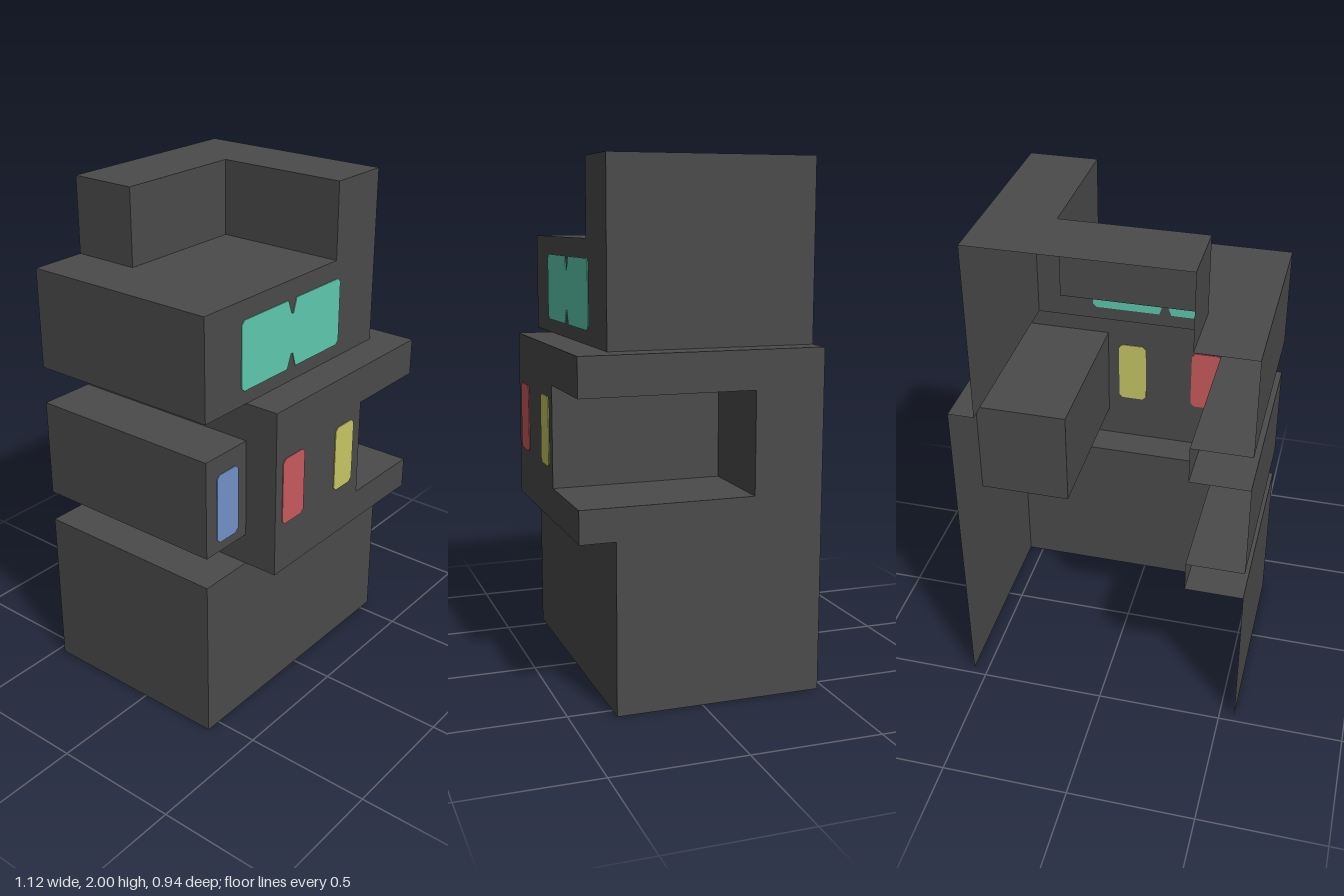
import * as THREE from 'three';

const charcoal = new THREE.MeshStandardMaterial({ color: 0x4b4b4b, side: THREE.DoubleSide });
charcoal.name = 'charcoal';
const paint = (name, color) => {
  const m = new THREE.MeshStandardMaterial({ color });
  m.name = name;
  return m;
};
const teal = paint('teal', 0x5ecbb0);
const red = paint('red', 0xcb5b5e);
const yellow = paint('yellow', 0xc8c865);
const blue = paint('blue', 0x7493cb);

// Main planes of the hollow shell, which is open at the back and bottom
const L = -0.56, R = 0.56, INL = -0.335, INR = 0.46, NOTCH = 0.2;
const BACK = -0.47, FRONT = 0.33, PROUD = 0.466, STEP = -0.2;
const Y1 = 0.65, P0 = 0.775, P1 = 1.165, Y2 = 1.312, Y3 = 1.703, TOP = 2;

const rect = (a0, b0, a1, b1) => [[a0, b0], [a1, b0], [a1, b1], [a0, b1]];

// Flat panel facing dir; outline is (x,y) for z panels, (z,y) for x panels, (x,z) for y panels
function panel(group, name, dir, at, points) {
  const geo = new THREE.ShapeGeometry(new THREE.Shape(points.map(p => new THREE.Vector2(...p))));
  const pos = geo.attributes.position;
  const axis = dir[1];
  for (let i = 0; i < pos.count; i++) {
    const a = pos.getX(i), b = pos.getY(i);
    if (axis === 'x') pos.setXYZ(i, at, b, a);
    else if (axis === 'y') pos.setXYZ(i, a, at, b);
    else pos.setXYZ(i, a, b, at);
  }
  if ((axis === 'z') !== (dir[0] === '+')) geo.index.array.reverse();
  geo.computeVertexNormals();
  const mesh = new THREE.Mesh(geo, charcoal);
  mesh.name = name;
  group.add(mesh);
}

// Thin window through a wall, with clipped corners and an optional pinch in the middle
function windowPlate(group, name, material, [x0, y0, x1, y1], z, pinch = 0) {
  const c = 0.015, m = (x0 + x1) / 2 + 0, pts = [[x0 + c, y0]];
  if (pinch) pts.push([m - 0.03, y0], [m - 0.008, y0 + pinch], [m + 0.002, y0 + pinch], [m + 0.02, y0]);
  pts.push([x1 - c, y0], [x1, y0 + c], [x1, y1 - c], [x1 - c, y1]);
  if (pinch) pts.push([m + 0.02, y1], [m + 0.002, y1 - pinch], [m - 0.008, y1 - pinch], [m - 0.03, y1]);
  pts.push([x0 + c, y1], [x0, y1 - c], [x0, y0 + c]);
  const shape = new THREE.Shape(pts.map(p => new THREE.Vector2(...p)));
  const geo = new THREE.ExtrudeGeometry(shape, { depth: 0.006, bevelEnabled: false });
  const mesh = new THREE.Mesh(geo, material);
  mesh.name = name;
  mesh.position.z = z - 0.003;
  group.add(mesh);
}

export function createModel() {
  const model = new THREE.Group();
  model.name = 'blockTower';
  const section = name => {
    const g = new THREE.Group();
    g.name = name;
    model.add(g);
    return g;
  };

  // Base
  const base = section('base');
  panel(base, 'baseFront', '+z', FRONT, rect(L, 0, R, Y1));
  panel(base, 'baseRightWall', '-x', L, rect(BACK, 0, FRONT, Y1));
  panel(base, 'baseLeftWall', '+x', R, rect(BACK, 0, FRONT, Y1));
  panel(base, 'baseLedge', '+y', Y1, rect(L, BACK, INL, FRONT));

  // Middle storey, proud of the base, with a recess cut from its front corner
  const mid = section('middleStorey');
  panel(mid, 'middleFront', '+z', PROUD, [[INL, Y1], [R, Y1], [R, P0], [NOTCH, P0],
    [NOTCH, P1], [R, P1], [R, Y2], [INL, Y2]]);
  panel(mid, 'middleLeftWall', '+x', R, [[BACK, Y1], [PROUD, Y1], [PROUD, P0], [STEP, P0],
    [STEP, P1], [PROUD, P1], [PROUD, Y2], [BACK, Y2]]);
  panel(mid, 'middleRightWall', '-x', INL, [[BACK, Y1], [PROUD, Y1], [PROUD, Y2], [BACK, Y2],
    [BACK, P1], [FRONT, P1], [FRONT, P0], [BACK, P0]]);
  panel(mid, 'middleOverhang', '-y', Y1, rect(INL, FRONT, R, PROUD));
  panel(mid, 'middleLedge', '+y', Y2, [[INL, FRONT], [INR, FRONT], [INR, BACK],
    [R, BACK], [R, PROUD], [INL, PROUD]]);

  // Corner recess lining
  const recess = section('cornerRecess');
  panel(recess, 'recessSide', '+x', NOTCH, rect(STEP, P0, PROUD, P1));
  panel(recess, 'recessBack', '+z', STEP, rect(NOTCH, P0, R, P1));
  panel(recess, 'recessFloor', '+y', P0, rect(NOTCH, STEP, R, PROUD));
  panel(recess, 'recessCeiling', '-y', P1, rect(NOTCH, STEP, R, PROUD));

  // Bay sticking out of the right side
  const bay = section('sideBay');
  panel(bay, 'bayFront', '+z', FRONT, rect(L, P0, INL, P1));
  panel(bay, 'bayWall', '-x', L, rect(BACK, P0, FRONT, P1));
  panel(bay, 'bayTop', '+y', P1, rect(L, BACK, INL, FRONT));
  panel(bay, 'bayUnderside', '-y', P0, rect(L, BACK, INL, FRONT));

  // Upper storey with an L-shaped raised top
  const up = section('upperStorey');
  panel(up, 'upperFront', '+z', FRONT, [[L, Y2], [INR, Y2], [INR, TOP], [NOTCH, TOP], [NOTCH, Y3], [L, Y3]]);
  panel(up, 'upperLeftWall', '+x', INR, rect(BACK, Y2, FRONT, TOP));
  panel(up, 'upperRightWall', '-x', L, rect(BACK, Y2, FRONT, Y3));
  panel(up, 'upperUnderside', '-y', Y2, rect(L, BACK, INL, FRONT));
  panel(up, 'terrace', '+y', Y3, [[L, BACK], [INL, BACK], [INL, STEP], [NOTCH, STEP], [NOTCH, FRONT], [L, FRONT]]);
  panel(up, 'parapetSide', '-x', NOTCH, rect(STEP, Y3, FRONT, TOP));
  panel(up, 'parapetFront', '+z', STEP, rect(INL, Y3, NOTCH, TOP));
  panel(up, 'parapetEnd', '-x', INL, rect(BACK, Y3, STEP, TOP));
  panel(up, 'roof', '+y', TOP, [[INL, BACK], [INR, BACK], [INR, FRONT], [NOTCH, FRONT], [NOTCH, STEP], [INL, STEP]]);

  // Coloured windows
  const windows = section('windows');
  windowPlate(windows, 'wideWindow', teal, [-0.365, 1.365, 0.227, 1.63], FRONT, 0.055);
  windowPlate(windows, 'redWindow', red, [-0.295, 0.847, -0.165, 1.115], PROUD);
  windowPlate(windows, 'yellowWindow', yellow, [0.034, 0.847, 0.153, 1.115], PROUD);
  windowPlate(windows, 'blueWindow', blue, [-0.502, 0.814, -0.382, 1.09], FRONT);

  return model;
}
